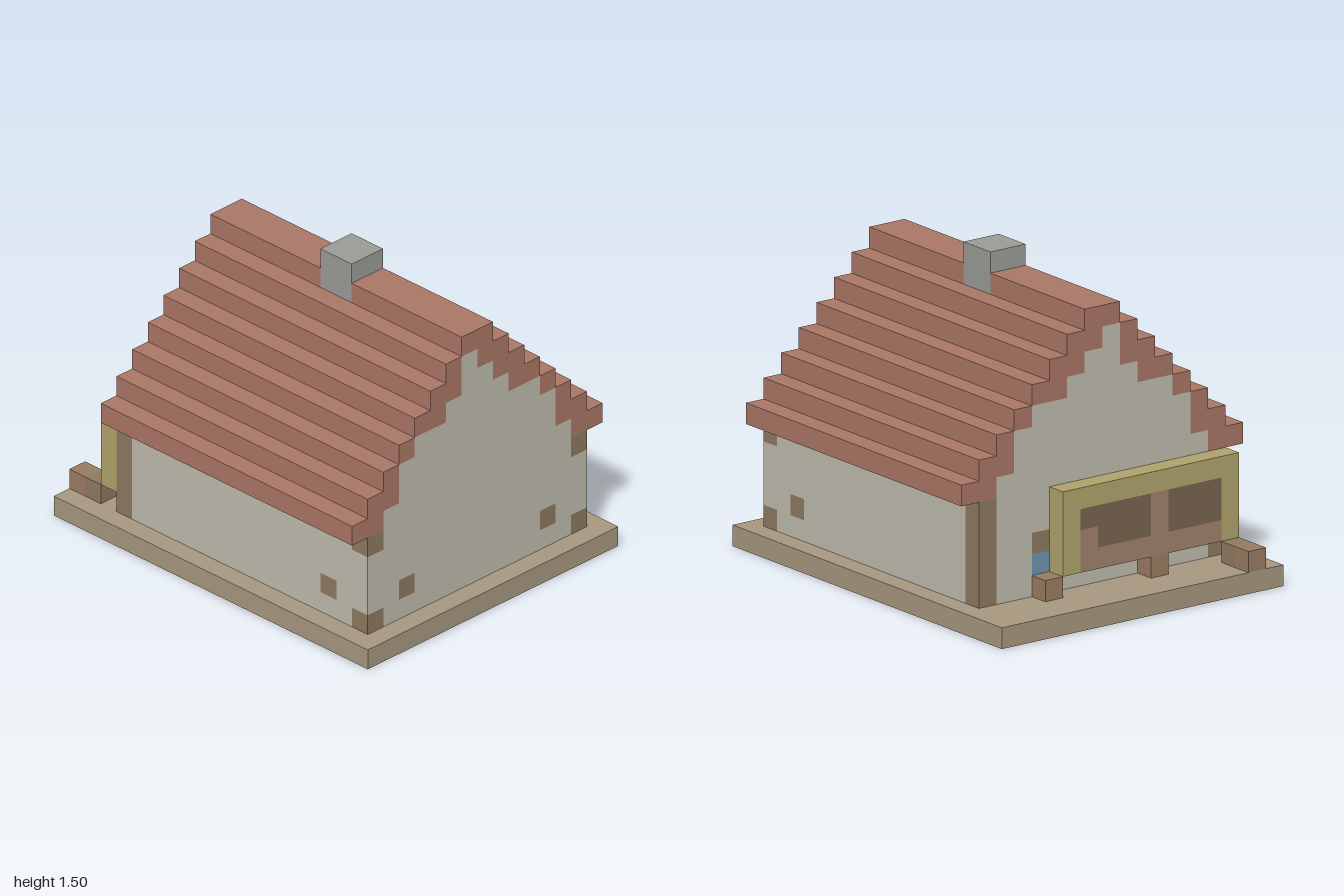
import * as THREE from 'three';
import { mergeGeometries } from 'three/addons/utils/BufferGeometryUtils.js';

const U = 0.1; // block size
const COLORS = {
  base: 0xa89880, wall: 0xc0bcae, timber: 0x8e7a60, roof: 0xab7766, chimney: 0x9c9c98,
  benchFrame: 0xb0a46c, benchPanel: 0xa0836a, benchRecess: 0x78654f, footBlock: 0x9a7d62, windowPane: 0x6f93ad,
};

// The six sides of a block: neighbour direction and the turn that faces a plane that way
const SIDES = [
  [1, 0, 0, 0, Math.PI / 2], [-1, 0, 0, 0, -Math.PI / 2],
  [0, 1, 0, -Math.PI / 2, 0], [0, -1, 0, Math.PI / 2, 0],
  [0, 0, 1, 0, 0], [0, 0, -1, 0, Math.PI],
];

export function createModel() {
  const cells = new Map();
  const key = (x, y, z) => `${x},${y},${z}`;

  // Fill a range of blocks (upper bounds excluded); later fills replace earlier ones
  const fill = (part, x0, x1, y0, y1, z0, z1) => {
    for (let x = x0; x < x1; x++)
      for (let y = y0; y < y1; y++)
        for (let z = z0; z < z1; z++) cells.set(key(x, y, z), { part, x, y, z });
  };

  // Ground slab
  fill('base', -8, 8, 0, 1, -10, 10);

  // Hollow walls, one block thick
  for (const x of [-7, 6]) fill('wall', x, x + 1, 1, 6, -7, 9);
  for (const z of [-7, 8]) fill('wall', -7, 7, 1, 6, z, z + 1);

  // Stepped roof rows with the gables between them: y, left span, right span
  const rows = [
    [6, -8, -6, 6, 8], [7, -7, -5, 5, 7], [8, -6, -5, 5, 6], [9, -5, -4, 4, 5],
    [10, -4, -2, 2, 4], [11, -3, -1, 1, 3], [12, -2, -1, 0, 2], [13, -1, 0, 0, 1],
  ];
  for (const [y, l0, l1, r0, r1] of rows) {
    for (const z of [-7, 8]) fill('wall', l1, r0, y, y + 1, z, z + 1);
    fill('roof', l0, l1, y, y + 1, -7, 9);
    fill('roof', r0, r1, y, y + 1, -7, 9);
  }

  // Timber: back corner posts, front corner ends and small accents
  for (const x of [-7, 6]) {
    fill('timber', x, x + 1, 1, 6, -7, -6);
    fill('timber', x, x + 1, 1, 2, 8, 9);
    fill('timber', x, x + 1, 5, 6, 8, 9);
    fill('timber', x, x + 1, 2, 3, 6, 7);
  }
  for (const x of [-5, 4]) fill('timber', x, x + 1, 2, 3, 8, 9);

  // Pane and timber on the back wall
  fill('windowPane', 3, 4, 2, 3, -7, -6);
  fill('timber', 3, 4, 3, 4, -7, -6);

  // Chimney column from floor to top
  fill('chimney', -1, 1, 1, 15, 0, 2);

  // Framed panel against the back wall
  fill('benchFrame', -7, 3, 2, 6, -8, -7);
  fill('benchPanel', -6, 2, 2, 5, -8, -7);
  fill('benchRecess', -2, 2, 3, 5, -8, -7);
  fill('benchPanel', 1, 2, 3, 4, -8, -7);
  fill('benchRecess', -6, -3, 3, 5, -8, -7);

  // Blocks on the ground around the panel
  fill('footBlock', 3, 4, 1, 2, -8, -7);
  fill('footBlock', -3, -2, 1, 2, -8, -7);
  fill('footBlock', -7, -6, 1, 2, -10, -8);
  fill('timber', -7, -6, 1, 2, -9, -8);

  // Keep only the exposed sides; the underside of the slab stays open
  const faces = {};
  for (const { part, x, y, z } of cells.values()) {
    for (const [dx, dy, dz, rx, ry] of SIDES) {
      if (cells.has(key(x + dx, y + dy, z + dz)) || y + dy < 0) continue;
      const g = new THREE.PlaneGeometry(U, U).rotateX(rx).rotateY(ry);
      g.translate((x + 0.5 + dx / 2) * U, (y + 0.5 + dy / 2) * U, (z + 0.5 + dz / 2) * U);
      (faces[part] ??= []).push(g);
    }
  }

  const house = new THREE.Group();
  house.name = 'blockHouse';
  for (const [part, list] of Object.entries(faces)) {
    const material = new THREE.MeshStandardMaterial({ color: COLORS[part], side: THREE.DoubleSide });
    const mesh = new THREE.Mesh(mergeGeometries(list), material);
    mesh.name = part;
    house.add(mesh);
  }
  return house;
}
